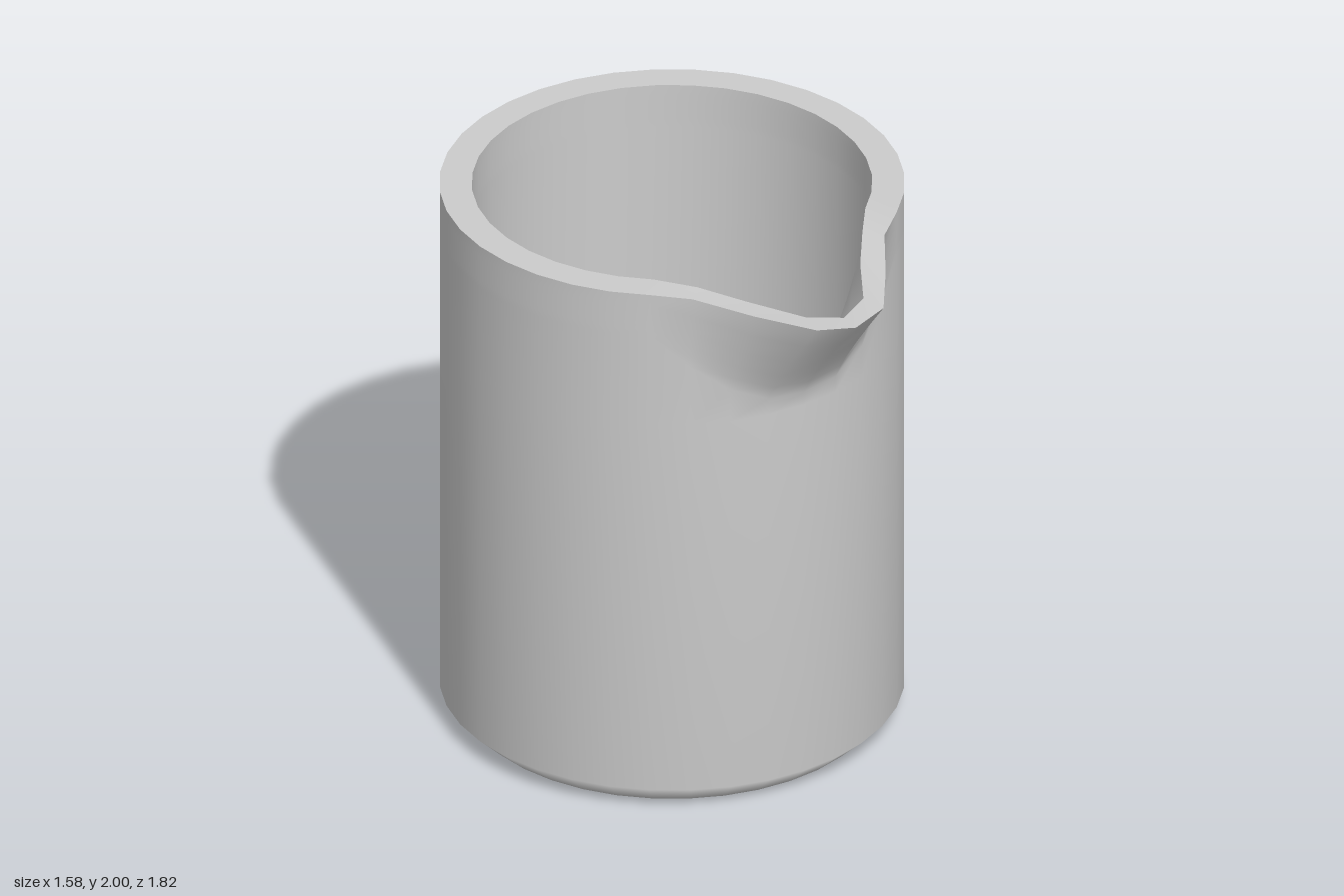
import * as THREE from 'three';

const SIDES = 36;
const CENTER_Z = -0.12;
const OUTER = 0.79, INNER = 0.68, FLOOR_Y = 0.11, HEIGHT = 2;

// Spout shape by number of columns away from its tip
const OUTER_PUSH = [0.25, 0.232, 0.115, 0.01];
const INNER_PUSH = [0.28, 0.245, 0.12, 0.045];
const DROP = [0.103, 0.083, 0.05, 0.012];
const START = [1.55, 1.56, 1.62, 1.72, 1.84];

const away = k => Math.min(k, SIDES - k);

// Point on a plain ring; column 0 carries the spout tip
function ringPoint(k, radius, y) {
  const a = (k - 1) * 2 * Math.PI / SIDES;
  return [radius * Math.sin(a), y, CENTER_Z + radius * Math.cos(a)];
}

// Point on the upper wall: t = 0 where the spout begins, t = 1 at the rim
function spoutPoint(k, radius, push, t) {
  const n = away(k);
  const start = START[Math.min(n, START.length - 1)];
  const top = HEIGHT - (DROP[n] ?? 0);
  const p = ringPoint(k, radius, start + (top - start) * t);
  p[2] += (push[n] ?? 0) * Math.pow(t, 1.15);
  return p;
}

const ring = (radius, y) => k => ringPoint(k, radius, y);
const spout = (radius, push, t) => k => spoutPoint(k, radius, push, t);

// Joins closed rows of points into a smooth band
function band(name, rows) {
  const positions = [], index = [];
  rows.forEach((row, r) => {
    for (let k = 0; k < SIDES; k++) {
      positions.push(...row(k));
      if (r === rows.length - 1) continue;
      const next = (k + 1) % SIDES;
      const a = r * SIDES + k, b = r * SIDES + next;
      index.push(a, b, b + SIDES, a, b + SIDES, a + SIDES);
    }
  });
  const geometry = new THREE.BufferGeometry();
  geometry.setAttribute('position', new THREE.Float32BufferAttribute(positions, 3));
  geometry.setIndex(index);
  geometry.computeVertexNormals();
  const mesh = new THREE.Mesh(geometry, new THREE.MeshStandardMaterial({ color: 0xcccccc }));
  mesh.name = name;
  return mesh;
}

export function createModel() {
  const group = new THREE.Group();
  group.name = 'beaker';
  const steps = [0, 0.15, 0.3, 0.5, 0.75, 1];
  const outerSpout = steps.map(t => spout(OUTER, OUTER_PUSH, t));
  const innerSpout = steps.map(t => spout(INNER, INNER_PUSH, t));

  group.add(
    // Outside wall with bevelled foot and pouring spout
    band('outerWall', [ring(0.705, 0), ring(OUTER, 0.08), ring(OUTER, 1.5), ...outerSpout]),
    // Flat lip between the two walls
    band('rim', [outerSpout.at(-1), innerSpout.at(-1)]),
    // Inside wall, running from rim to floor
    band('innerWall', [...innerSpout.reverse(), ring(INNER, 1.5), ring(INNER, FLOOR_Y)]),
    band('floor', [ring(INNER, FLOOR_Y), ring(0, FLOOR_Y)]),
    band('base', [ring(0, 0), ring(0.705, 0)])
  );
  return group;
}
